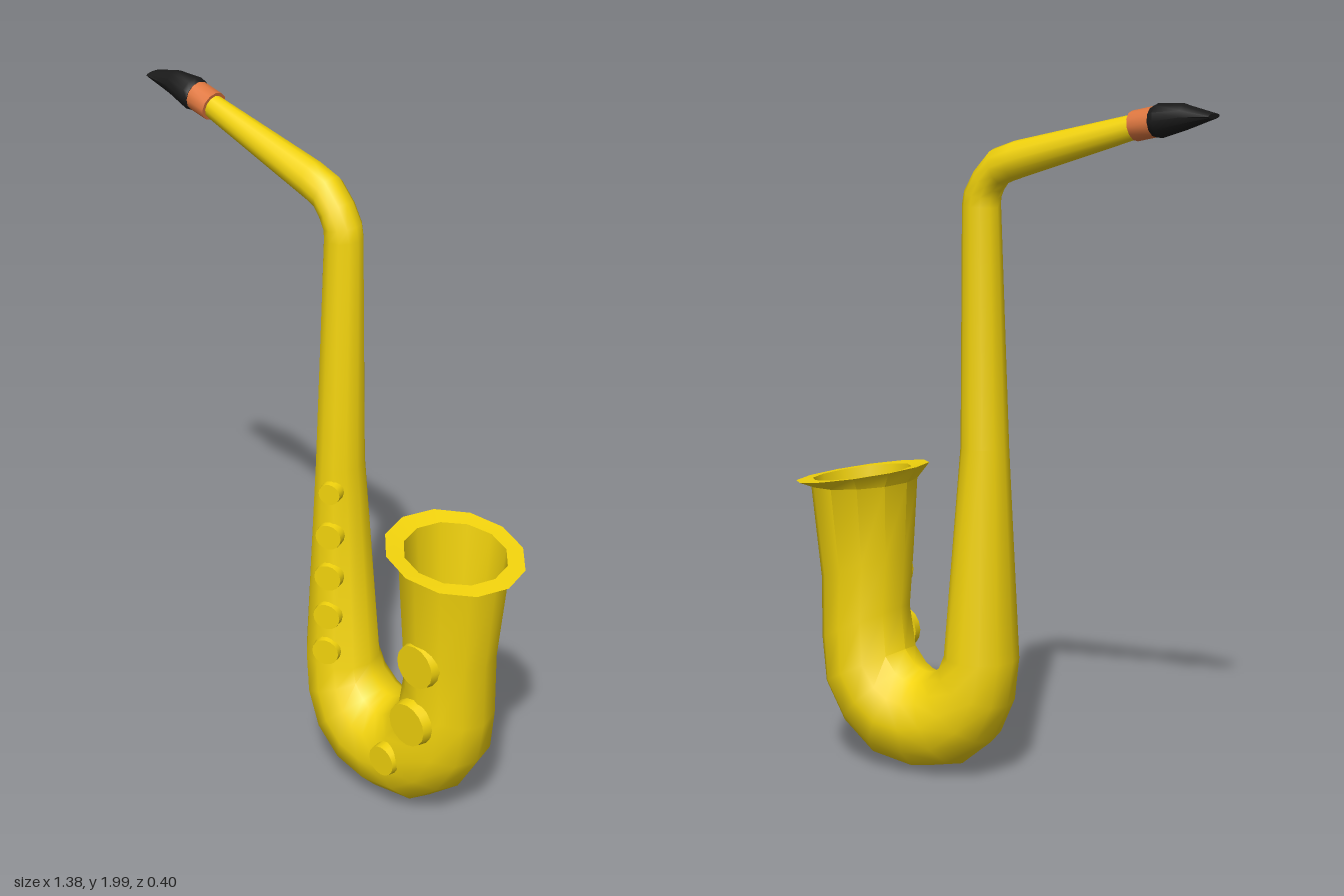
import * as THREE from 'three';
import { toCreasedNormals } from 'three/addons/utils/BufferGeometryUtils.js';

const SIDES = 12;
const brass = new THREE.MeshStandardMaterial({ color: 0xf2d30c });
const copper = new THREE.MeshStandardMaterial({ color: 0xe07840 });
const black = new THREE.MeshStandardMaterial({ color: 0x1a1a1a });

// Loft through elliptical rings: [outer x, outer y, inner x, inner y, half depth in z]
function loft(rings) {
  const pos = [], index = [];
  const first = rings[0], last = rings[rings.length - 1];
  const point = ([ax, ay, bx, by]) => [(ax + bx) / 2, (ay + by) / 2, (ax + bx) / 2, (ay + by) / 2, 0];
  const all = [point(first), ...rings, point(last)]; // closed ends
  all.forEach(([ax, ay, bx, by, rz], i) => {
    for (let j = 0; j < SIDES; j++) {
      const t = (j / SIDES) * Math.PI * 2, c = Math.cos(t) / 2;
      pos.push((ax + bx) / 2 + (ax - bx) * c, (ay + by) / 2 + (ay - by) * c, rz * Math.sin(t));
      if (i === all.length - 1) continue;
      const a = i * SIDES + j, b = i * SIDES + (j + 1) % SIDES;
      if (i > 0) index.push(a, a + SIDES, b);
      else index.push(a, a + SIDES, b + SIDES);
      if (i > 0 && i < all.length - 2) index.push(b, a + SIDES, b + SIDES);
    }
  });
  const geo = new THREE.BufferGeometry();
  geo.setAttribute('position', new THREE.Float32BufferAttribute(pos, 3));
  geo.setIndex(index);
  return toCreasedNormals(geo, 0.7);
}

export function createModel() {
  const group = new THREE.Group();
  const add = (name, geo, mat) => {
    const mesh = new THREE.Mesh(geo, mat);
    mesh.name = name;
    group.add(mesh);
    return mesh;
  };

  // Neck, tapered tube, bow and bell as one continuous sweep
  add('body', loft([
    [-0.46, 1.9, -0.44, 1.965, 0.033],
    [-0.055, 1.765, -0.055, 1.875, 0.053],
    [-0.02, 1.75, 0.015, 1.85, 0.055],
    [-0.005, 1.73, 0.07, 1.79, 0.056],
    [0.003, 1.71, 0.105, 1.73, 0.056],
    [0.003, 1.685, 0.113, 1.69, 0.056],
    [-0.02, 1.0, 0.115, 1.0, 0.075],
    [-0.05, 0.375, 0.17, 0.375, 0.11],
    [-0.03, 0.24, 0.185, 0.34, 0.122],
    [0.025, 0.125, 0.22, 0.31, 0.135],
    [0.13, 0.04, 0.24, 0.303, 0.143],
    [0.26, 0.01, 0.26, 0.3, 0.147],
    [0.41, 0.03, 0.28, 0.305, 0.15],
    [0.52, 0.115, 0.3, 0.315, 0.152],
    [0.59, 0.23, 0.335, 0.355, 0.15],
    [0.61, 0.36, 0.35, 0.48, 0.135],
    [0.61, 0.55, 0.335, 0.65, 0.138],
    [0.64, 0.835, 0.325, 0.86, 0.16],
    // flared rim, then the inside of the bell
    [0.685, 0.84, 0.29, 0.91, 0.2],
    [0.635, 0.85, 0.345, 0.895, 0.15],
    [0.595, 0.55, 0.365, 0.63, 0.125],
    [0.59, 0.37, 0.37, 0.47, 0.12],
    [0.56, 0.24, 0.36, 0.36, 0.115],
    [0.49, 0.15, 0.32, 0.33, 0.1],
  ]), brass);

  // Collar and mouthpiece
  add('collar', loft([
    [-0.535, 1.91, -0.516, 1.992, 0.044],
    [-0.455, 1.892, -0.437, 1.974, 0.044],
  ]), copper);
  add('mouthpiece', loft([
    [-0.69, 1.962, -0.69, 1.977, 0.03],
    [-0.61, 1.93, -0.6, 2.0, 0.035],
    [-0.535, 1.905, -0.52, 1.998, 0.05],
    [-0.515, 1.905, -0.505, 1.99, 0.046],
  ]), black);

  // Key pads: [x, y, z, radius, turn towards +x]
  [
    [0.08, 0.935, 0.072, 0.034, 0.4],
    [0.082, 0.8, 0.078, 0.041, 0.4],
    [0.085, 0.67, 0.084, 0.043, 0.4],
    [0.088, 0.545, 0.091, 0.043, 0.4],
    [0.09, 0.43, 0.098, 0.043, 0.4],
    [0.475, 0.56, 0.13, 0.07, 0],
    [0.462, 0.37, 0.145, 0.07, 0],
    [0.37, 0.208, 0.15, 0.049, 0],
  ].forEach(([x, y, z, r, turn], i) => {
    const geo = new THREE.CylinderGeometry(r * 0.93, r, 0.03, 16).rotateX(Math.PI / 2).rotateY(turn);
    add(`key${i + 1}`, geo, brass).position.set(x, y, z);
  });

  return group;
}
